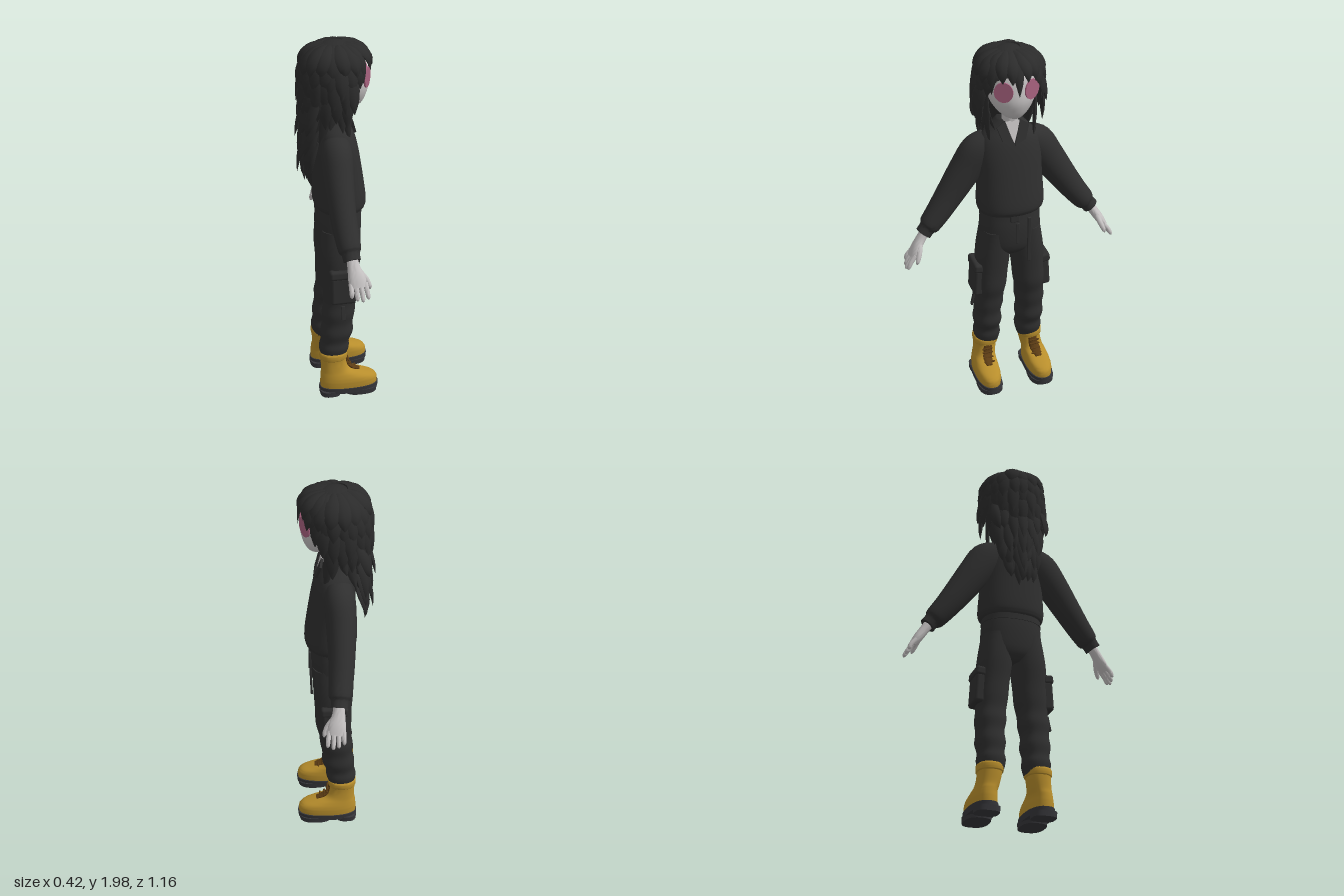
import * as THREE from 'three';
import { mergeGeometries, toCreasedNormals } from 'three/addons/utils/BufferGeometryUtils.js';
import { RoundedBoxGeometry } from 'three/addons/geometries/RoundedBoxGeometry.js';

const mat = (name, color) => Object.assign(new THREE.MeshStandardMaterial({ color }), { name });
const V = (x, y, z) => new THREE.Vector3(x, y, z);
const UP = V(0, 1, 0), FRONT = V(0, 0, 1);

let seed = 7;
const rnd = (k = 1) => { seed = (seed * 16807) % 2147483647; return (seed / 2147483647 - 0.5) * 2 * k; };

// Catmull-Rom resampling of every column of a section list
function smooth(rows, k) {
  const out = [], n = rows.length;
  for (let i = 0; i < n - 1; i++) {
    const [a, b, c, d] = [i - 1, i, i + 1, i + 2].map((q) => rows[Math.min(n - 1, Math.max(0, q))]);
    for (let s = 0; s < k; s++) {
      const t = s / k;
      out.push(b.map((_, m) => 0.5 * (2 * b[m] + (c[m] - a[m]) * t + (2 * a[m] - 5 * b[m] + 4 * c[m] - d[m]) * t * t
        + (3 * b[m] - a[m] - 3 * c[m] + d[m]) * t * t * t)));
    }
  }
  return [...out, rows[n - 1]];
}

// Skin over sections [x, y, z, half width, half depth]; axis fixes the ring direction
function sweep(rows, { axis = null, normal = FRONT, n = 28, p = 2, k = 4 } = {}) {
  const R = smooth(rows, k), pos = [], idx = [], m = R.length;
  const pt = (r) => V(r[0], r[1], r[2]);
  R.forEach((r, i) => {
    const t = axis || pt(R[Math.min(m - 1, i + 1)]).sub(pt(R[Math.max(0, i - 1)])).normalize();
    const side = t.clone().cross(normal).normalize(), out = side.clone().cross(t);
    for (let j = 0; j < n; j++) {
      const a = (j / n) * Math.PI * 2, c = Math.cos(a), s = Math.sin(a);
      const f = (v) => Math.sign(v) * Math.abs(v) ** (2 / p);
      pos.push(...pt(r).addScaledVector(side, r[3] * f(c)).addScaledVector(out, r[4] * f(s)).toArray());
    }
  });
  pos.push(...R[0].slice(0, 3), ...R[m - 1].slice(0, 3));
  for (let j = 0; j < n; j++) {
    const q = (j + 1) % n, e = (m - 1) * n;
    for (let i = 0; i < m - 1; i++) {
      const a = i * n + j, b = i * n + q;
      idx.push(a, a + n, b, b, a + n, b + n);
    }
    idx.push(m * n, j, q, m * n + 1, e + q, e + j);
  }
  const g = new THREE.BufferGeometry();
  g.setAttribute('position', new THREE.Float32BufferAttribute(pos, 3));
  g.setIndex(idx);
  return toCreasedNormals(g, 0.9);
}

// Flattened pointed hair lock along a three point curve
function lock(a, b, c, w) {
  const curve = new THREE.QuadraticBezierCurve3(V(...a), V(...b), V(...c));
  const rows = [0.45, 0.85, 1, 0.9, 0.62, 0.04].map((f, i) => [...curve.getPoint(i / 5).toArray(), w * f, w * f * 0.42]);
  return sweep(rows, { normal: V(b[0], 0.06, b[2]).normalize(), n: 8, k: 2 });
}

export function createModel() {
  const skin = mat('skin', 0xc4c1c1), cloth = mat('dark cloth', 0x2f2f2f), hair = mat('hair', 0x2b2b2b);
  const leather = mat('yellow leather', 0xb88e2c), rubber = mat('sole rubber', 0x36363a);
  const brown = mat('brown laces', 0x5c3c14), pink = mat('pink lens', 0xa8627f);
  const body = new THREE.Group();
  body.name = 'figure';
  const add = (name, geo, material, parent = body) => {
    const m = new THREE.Mesh(geo, material);
    m.name = name;
    parent.add(m);
    return m;
  };
  const flat = { axis: UP };

  // Head and neck
  add('head', sweep([[0, 1.635, 0.09, 0.02, 0.03], [0, 1.652, 0.08, 0.055, 0.06], [0, 1.69, 0.06, 0.092, 0.1],
    [0, 1.74, 0.045, 0.118, 0.128], [0, 1.8, 0.035, 0.13, 0.132], [0, 1.88, 0.02, 0.125, 0.13], [0, 1.94, 0.01, 0.08, 0.09]], flat), skin);
  add('neck', sweep([[0, 1.46, 0.02, 0.05, 0.05], [0, 1.58, 0.025, 0.042, 0.044], [0, 1.7, 0.035, 0.045, 0.05]], flat), skin);

  // Sweater
  add('sweater', sweep([[0, 1.08, 0.02, 0.15, 0.11], [0, 1.1, 0.025, 0.172, 0.132], [0, 1.15, 0.025, 0.178, 0.137], [0, 1.3, 0.018, 0.17, 0.123],
    [0, 1.42, 0.01, 0.168, 0.11], [0, 1.5, 0.004, 0.148, 0.095], [0, 1.555, 0, 0.1, 0.073], [0, 1.6, 0, 0.06, 0.052]], { ...flat, p: 2.25, n: 40 }), cloth);

  // Open neckline and collar flaps
  const plate = (pts, depth) => new THREE.ExtrudeGeometry(new THREE.Shape(pts.map(([x, y]) => new THREE.Vector2(x, y))), { depth, bevelEnabled: false });
  const collar = new THREE.Group();
  collar.name = 'collar';
  collar.position.set(0, 1.49, 0.098);
  collar.rotation.x = -0.3;
  body.add(collar);
  add('neckline', plate([[0, 0], [0.042, 0.115], [-0.042, 0.115]], 0.006), skin, collar);
  for (const s of [-1, 1])
    add('collarFlap', plate([[0, -0.015], [s * 0.06, 0.015], [s * 0.085, 0.09], [s * 0.04, 0.12]].slice()[s > 0 ? 'slice' : 'reverse'](), 0.012), cloth, collar);

  // Trousers: hips, belt and fly
  add('hips', sweep([[0, 0.83, 0.015, 0.07, 0.075], [0, 0.88, 0.018, 0.155, 0.11], [0, 1.0, 0.02, 0.162, 0.12], [0, 1.1, 0.02, 0.152, 0.112]], { ...flat, p: 2.3 }), cloth);
  add('belt', sweep([[0, 1.055, 0.02, 0.161, 0.121], [0, 1.095, 0.02, 0.157, 0.119]], { ...flat, p: 2.3, k: 1 }), cloth);
  const box = (name, w, h, d, x, y, z, material = cloth) => {
    const m = add(name, new RoundedBoxGeometry(w, h, d, 2, Math.min(w, h, d) * 0.3), material);
    m.position.set(x, y, z);
    return m;
  };
  box('buckle', 0.05, 0.042, 0.02, -0.01, 1.075, 0.14);
  box('beltEnd', 0.018, 0.27, 0.012, 0.072, 0.93, 0.133).rotation.x = 0.03;
  box('fly', 0.02, 0.12, 0.01, 0.008, 0.98, 0.138);
  box('hangingStrap', 0.01, 0.08, 0.02, -0.205, 0.53, 0.01).rotation.z = -0.2;

  for (const s of [-1, 1]) {
    const X = (rows) => rows.map(([x, ...r]) => [x * s, ...r]);
    // Creased trouser leg
    add('trouserLeg', sweep(X([[0.08, 0.98, 0.02, 0.08, 0.105], [0.092, 0.84, 0.015, 0.09, 0.106], [0.102, 0.72, 0.016, 0.086, 0.098],
      [0.108, 0.63, 0.015, 0.084, 0.096], [0.113, 0.56, 0.008, 0.077, 0.086], [0.117, 0.5, 0, 0.08, 0.088], [0.12, 0.44, -0.005, 0.071, 0.082],
      [0.12, 0.38, -0.01, 0.077, 0.088], [0.12, 0.325, -0.02, 0.067, 0.077], [0.12, 0.28, -0.025, 0.073, 0.081], [0.12, 0.225, -0.03, 0.061, 0.068]]),
    { p: 2.3, axis: V(0, -1, 0) }), cloth);
    // Cargo pocket
    box('cargoPocket', 0.055, 0.16, 0.135, s * 0.184, 0.665, 0.012).rotation.z = s * 0.06;
    box('pocketFlap', 0.06, 0.05, 0.145, s * 0.182, 0.755, 0.012).rotation.z = s * 0.12;

    // Sleeve and cuff
    add('sleeve', sweep(X([[0.1, 1.47, -0.01, 0.07, 0.07], [0.155, 1.42, -0.015, 0.094, 0.08], [0.22, 1.325, -0.02, 0.088, 0.077],
      [0.31, 1.19, -0.018, 0.075, 0.068], [0.37, 1.105, -0.012, 0.066, 0.064], [0.425, 1.035, -0.005, 0.057, 0.058], [0.44, 1.018, -0.003, 0.044, 0.046],
      [0.462, 0.99, 0, 0.043, 0.044]])), cloth);
    // Hand
    const hand = new THREE.Group();
    hand.name = s > 0 ? 'leftHand' : 'rightHand';
    body.add(hand);
    add('palm', sweep(X([[0.44, 1.02, 0, 0.026, 0.028], [0.477, 0.965, 0.004, 0.025, 0.032], [0.51, 0.915, 0.014, 0.024, 0.045], [0.535, 0.875, 0.018, 0.018, 0.044]])), skin, hand);
    for (let i = 0; i < 4; i++) {
      const z = -0.018 + i * 0.024, e = [0.02, 0.006, 0, 0.01][i];
      add('finger', sweep(X([[0.522, 0.895, z, 0.013, 0.013], [0.55, 0.852 + e * 0.5, z * 1.1, 0.012, 0.012],
        [0.568 - e * 0.5, 0.822 + e, z * 1.15, 0.01, 0.01], [0.573 - e * 0.5, 0.813 + e, z * 1.15, 0.003, 0.003]]), { n: 10 }), skin, hand);
    }
    add('thumb', sweep(X([[0.49, 0.945, 0.03, 0.016, 0.015], [0.503, 0.905, 0.062, 0.014, 0.014], [0.517, 0.87, 0.078, 0.011, 0.011], [0.522, 0.855, 0.08, 0.003, 0.003]]), { n: 10 }), skin, hand);

    // Boot
    const boot = new THREE.Group();
    boot.name = s > 0 ? 'leftBoot' : 'rightBoot';
    body.add(boot);
    add('bootUpper', sweep(X([[0.148, 0.045, 0.052, 0.066, 0.158], [0.148, 0.08, 0.052, 0.067, 0.158], [0.147, 0.105, 0.042, 0.064, 0.146],
      [0.144, 0.125, 0.014, 0.06, 0.116], [0.138, 0.15, -0.018, 0.058, 0.08], [0.13, 0.2, -0.03, 0.06, 0.07], [0.127, 0.25, -0.03, 0.064, 0.072]]), { ...flat, p: 2.4 }), leather);
    add('bootCuff', sweep(X([[0.128, 0.215, -0.03, 0.062, 0.07], [0.128, 0.222, -0.03, 0.068, 0.076], [0.127, 0.25, -0.03, 0.068, 0.076], [0.127, 0.257, -0.03, 0.062, 0.07]]), { ...flat, p: 2.3 }), leather);
    add('sole', sweep(X([[0.148, 0.018, 0.053, 0.069, 0.161], [0.148, 0.05, 0.053, 0.071, 0.163]]), { ...flat, p: 2.5, k: 1 }), rubber);
    add('heel', sweep(X([[0.148, 0, -0.052, 0.063, 0.056], [0.148, 0.03, -0.052, 0.065, 0.058]]), { ...flat, p: 3, k: 1 }), rubber);
    add('tread', sweep(X([[0.148, 0, 0.115, 0.067, 0.092], [0.148, 0.03, 0.115, 0.069, 0.097]]), { ...flat, p: 2.6, k: 1 }), rubber);
    add('tongue', sweep(X([[0.13, 0.212, 0.037, 0.024, 0.009], [0.134, 0.17, 0.046, 0.026, 0.01], [0.14, 0.148, 0.066, 0.027, 0.01], [0.143, 0.13, 0.112, 0.018, 0.008]]), { n: 12 }), brown, boot);
    for (const [y, z] of [[0.2, 0.05], [0.178, 0.054], [0.156, 0.068], [0.141, 0.092]]) {
      const lace = add('lace', new THREE.CapsuleGeometry(0.005, 0.05, 3, 8), brown, boot);
      lace.position.set(s * 0.137, y, z);
      lace.rotation.z = Math.PI / 2;
    }
    ['bootUpper', 'bootCuff', 'sole', 'heel', 'tread'].forEach((n) => boot.add(body.children.find((c) => c.name === n)));

    // Round lens over the eye
    const eye = new THREE.Group();
    eye.name = s > 0 ? 'leftLens' : 'rightLens';
    eye.position.set(s * 0.073, 1.805, 0.154);
    eye.rotation.y = s * 0.5;
    body.add(eye);
    const lens = add('lens', new THREE.CylinderGeometry(0.048, 0.048, 0.008, 32), pink, eye);
    lens.rotation.x = Math.PI / 2;
    lens.scale.z = 1.1;
  }

  // Hair cap, tilted back to leave the face open
  const cap = new THREE.SphereGeometry(1, 40, 24, 0, Math.PI * 2, 0, 1.85).rotateX(-0.7).scale(0.158, 0.17, 0.165).translate(0, 1.812, 0.005);
  const capMaterial = hair;
  capMaterial.side = THREE.DoubleSide;
  add('hairCap', cap, capMaterial);
  add('hairBack', sweep([[0, 1.8, -0.06, 0.14, 0.09], [0, 1.68, -0.075, 0.13, 0.08], [0, 1.57, -0.1, 0.11, 0.065], [0, 1.46, -0.125, 0.08, 0.045], [0, 1.34, -0.14, 0.035, 0.022]],
    { axis: V(0, -1, 0) }), hair);
  const locks = [];
  // Layered rings: [root elevation, tip height, tip radius, count, front gap angle, width]
  for (const [e, tipY, r, count, gap, w] of [[1.2, 1.82, 0.178, 15, 0.75, 0.045], [0.75, 1.75, 0.185, 17, 0.95, 0.042],
    [0.25, 1.67, 0.182, 15, 1.15, 0.04], [-0.15, 1.59, 0.165, 13, 1.4, 0.038]])
    for (let i = 0; i < count; i++) {
      const f = gap + (i / (count - 1)) * (Math.PI * 2 - gap * 2) + rnd(0.06), sn = Math.sin(f), cs = Math.cos(f);
      const c = 0.155 * Math.cos(e), q = r + rnd(0.012), y = tipY + rnd(0.025);
      locks.push(lock([sn * c, 1.812 + 0.168 * Math.sin(e), cs * c], [sn * 0.178, (1.81 + 0.168 * Math.sin(e) + y) / 2 + 0.03, cs * 0.182], [sn * q, y, cs * q], w));
    }
  // Fringe: [tip x, tip y, tip z, width]
  for (const [x, y, z, w] of [[0, 1.785, 0.186, 0.03], [-0.035, 1.85, 0.186, 0.035], [0.045, 1.855, 0.184, 0.035], [-0.08, 1.855, 0.165, 0.037],
    [0.09, 1.85, 0.162, 0.037], [-0.125, 1.79, 0.125, 0.035], [0.128, 1.785, 0.122, 0.035], [-0.146, 1.72, 0.08, 0.033], [0.147, 1.71, 0.08, 0.033]])
    locks.push(lock([x * 0.35, 1.968, 0.04], [x * 1.1, 1.955, z * 1.02], [x, y, z], w));
  // Long layered back locks
  for (let k = 0; k < 4; k++)
    for (let i = -3; i <= 3; i++) {
      const x = i * (0.044 - k * 0.007) + rnd(0.008), y = 1.74 - k * 0.09, d = Math.abs(i) * 0.009;
      locks.push(lock([x, y, -0.125 + d], [x * 1.1, y - 0.13, -0.185 + d], [x * 0.95 + rnd(0.012), y - 0.24 + d + rnd(0.03), -0.195 + d + k * 0.008 + rnd(0.015)], 0.03));
    }
  locks.push(lock([0.01, 1.47, -0.14], [0.012, 1.38, -0.165], [0.005, 1.28, -0.165], 0.028));
  // Side locks falling over the shoulders
  for (const s of [-1, 1])
    for (const [x, y, z, w] of [[0.115, 1.47, 0.06, 0.028], [0.14, 1.53, 0.02, 0.03], [0.085, 1.55, 0.05, 0.022], [0.155, 1.56, -0.05, 0.032], [0.13, 1.48, -0.1, 0.032]])
      locks.push(lock([s * 0.125, 1.78, z * 0.6], [s * 0.135, 1.65, z * 0.5], [s * x, y + rnd(0.015), z], w));
  add('hairLocks', mergeGeometries(locks), hair);

  // The figure looks along +x
  body.rotation.y = Math.PI / 2;
  const model = new THREE.Group();
  model.name = 'model';
  model.add(body);
  return model;
}
